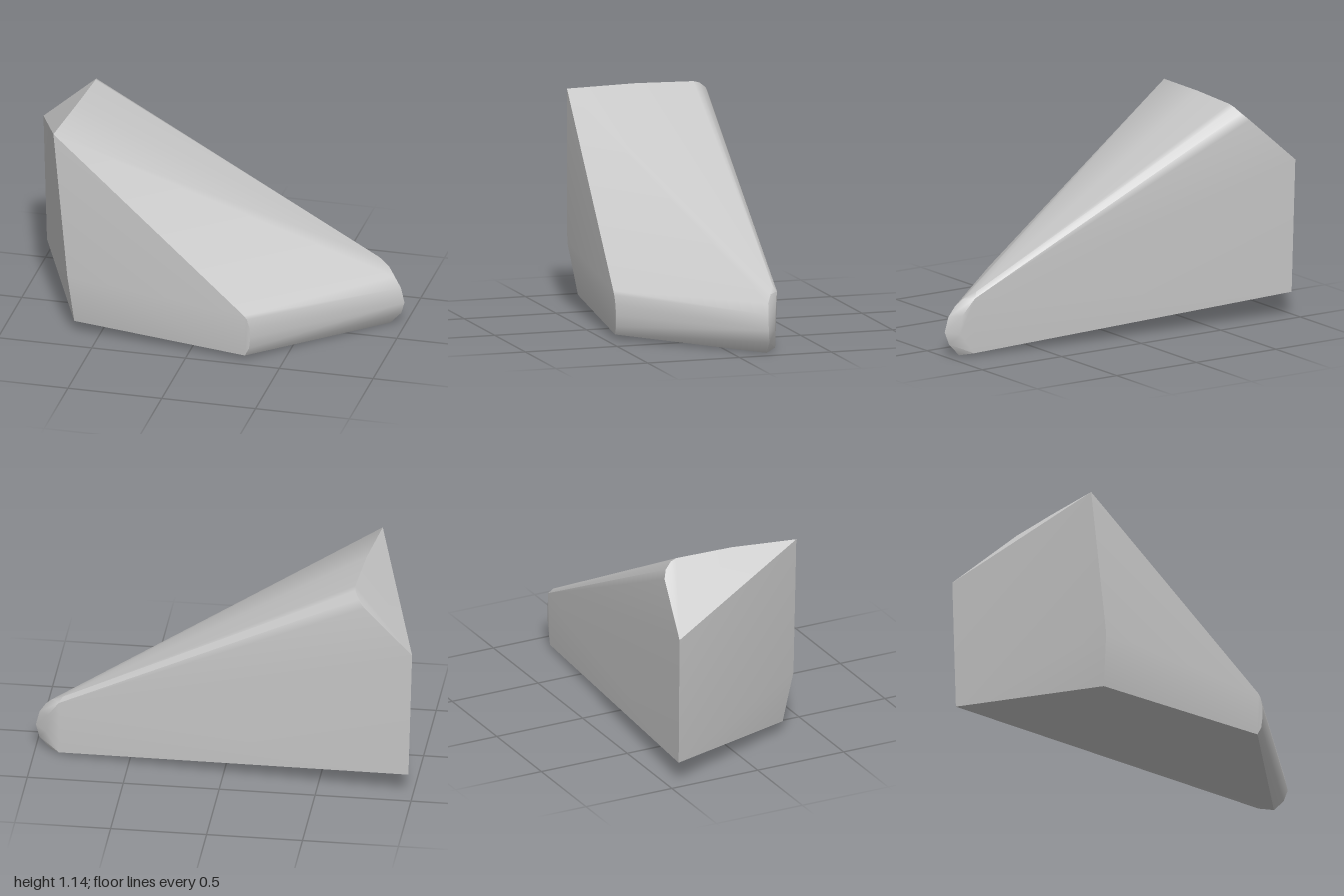
import * as THREE from 'three';
import { ConvexGeometry } from 'three/addons/geometries/ConvexGeometry.js';

// Area-weighted normals that blend only faces meeting below the given angle,
// so broad facets stay flat and the narrow bevel strips look rounded.
function softenBevels(geometry, angle) {
  const pos = geometry.attributes.position;
  const limit = Math.cos(angle);
  const corners = new Map();
  const faceNormals = [];
  const a = new THREE.Vector3(), b = new THREE.Vector3(), c = new THREE.Vector3();
  const key = (i) => [pos.getX(i), pos.getY(i), pos.getZ(i)].map((v) => v.toFixed(4)).join();
  for (let i = 0; i < pos.count; i += 3) {
    a.fromBufferAttribute(pos, i);
    b.fromBufferAttribute(pos, i + 1).sub(a);
    c.fromBufferAttribute(pos, i + 2).sub(a);
    const n = new THREE.Vector3().crossVectors(b, c);
    faceNormals.push({ area: n, unit: n.clone().normalize() });
    for (let k = i; k < i + 3; k++) {
      if (!corners.has(key(k))) corners.set(key(k), []);
      corners.get(key(k)).push(i / 3);
    }
  }
  for (let i = 0; i < pos.count; i++) {
    const own = faceNormals[Math.floor(i / 3)].unit;
    const sum = new THREE.Vector3();
    for (const f of corners.get(key(i))) {
      if (faceNormals[f].unit.dot(own) > limit) sum.add(faceNormals[f].area);
    }
    sum.normalize();
    geometry.attributes.normal.setXYZ(i, sum.x, sum.y, sum.z);
  }
  return geometry;
}

export function createModel() {
  const group = new THREE.Group();
  group.name = 'stoneWedge';
  const grey = new THREE.MeshStandardMaterial({ color: 0xc6c6c6 });
  grey.name = 'lightGrey';

  // Tall end: slanted side facet, tucked-in bottom corner and bowed top ridge
  const tallEnd = [
    [-1, 0.83, -0.455], [-0.98, 0.127, -0.45],
    [-0.74, 1.13, 0.36], [-0.66, 0.34, 0.385], [-0.635, 0.063, 0.335],
    [-0.703, 1.144, 0], [-0.685, 1.14, -0.31], [-0.69, 1.13, -0.345],
    [-0.71, 1.1, -0.385], [-0.745, 1.065, -0.41],
  ];
  // Low end: rounded nose running from the front corner to the back tip
  const noseFront = [
    [0.3, 0.255, 0.454], [0.315, 0.235, 0.454], [0.328, 0.19, 0.452],
    [0.332, 0.13, 0.449], [0.325, 0.07, 0.447], [0.302, 0.025, 0.445],
  ];
  const noseBack = [
    [0.91, 0.305, -0.2], [0.945, 0.265, -0.175], [0.98, 0.21, -0.165],
    [1, 0.13, -0.16], [0.98, 0.065, -0.17], [0.92, 0, -0.175],
  ];
  // Back corner behind the tip
  const backCorner = [
    [0.85, 0.34, -0.23], [0.87, 0.31, -0.248], [0.93, 0.22, -0.22],
    [0.94, 0.12, -0.215], [0.87, 0.016, -0.238],
  ];

  const points = [...tallEnd, ...noseFront, ...noseBack, ...backCorner]
    .map((p) => new THREE.Vector3(...p));
  const body = new THREE.Mesh(softenBevels(new ConvexGeometry(points), 0.6), grey);
  body.name = 'wedgeBody';
  group.add(body);
  return group;
}
